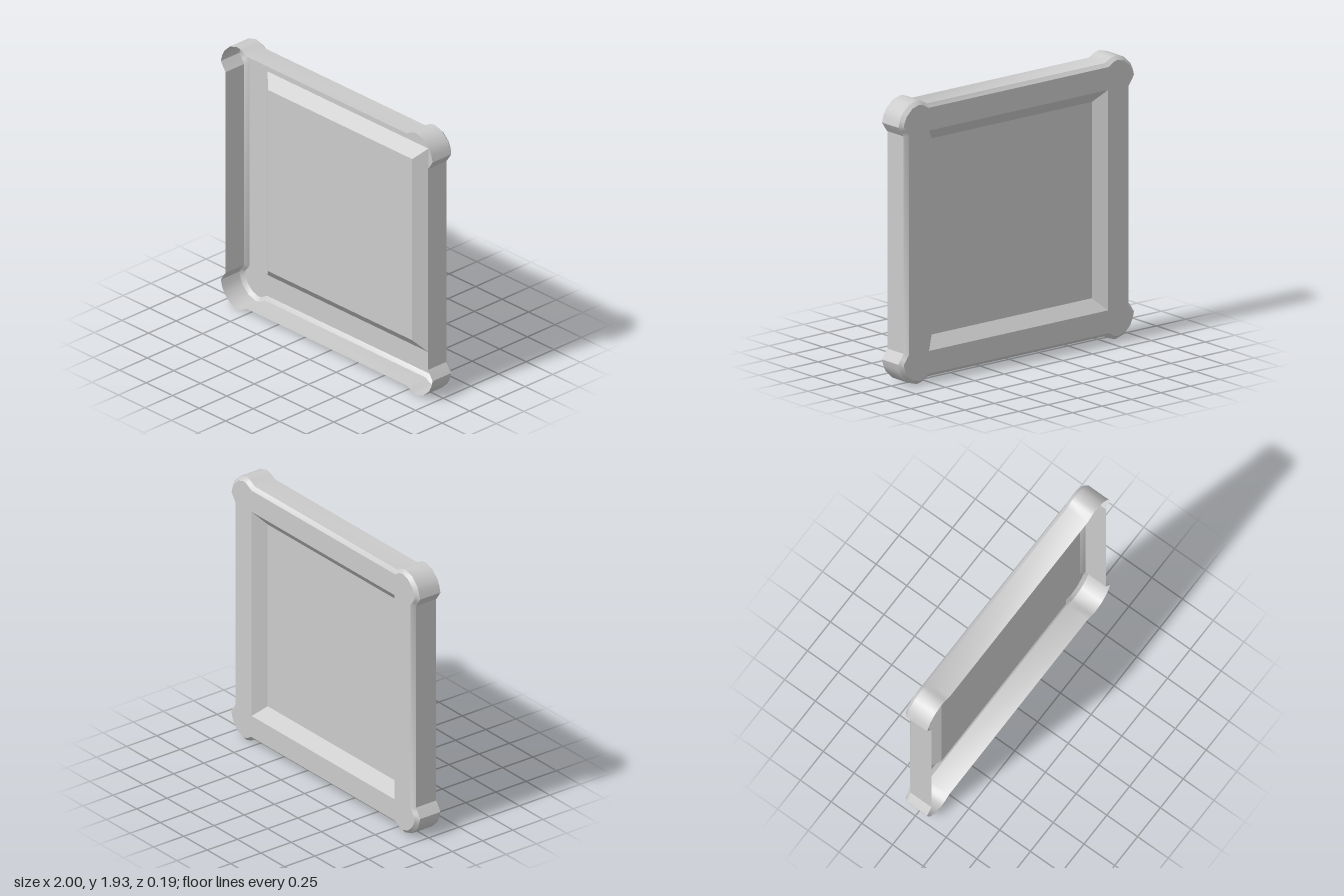
import * as THREE from 'three';
import { toCreasedNormals } from 'three/addons/utils/BufferGeometryUtils.js';

const MID_Y = 0.963;
const material = new THREE.MeshStandardMaterial({ color: 0xcccccc, side: THREE.DoubleSide });

// Counter-clockwise outline: one rounded corner lobe mirrored into four quadrants
function makeOutline() {
  const lobe = [
    [0.955, 0.738], [0.976, 0.767], [1, 0.804], [0.988, 0.848], [0.968, 0.89],
    [0.912, 0.943], [0.842, 0.963], [0.803, 0.953], [0.757, 0.927],
  ];
  const points = [];
  for (const [sx, sy] of [[1, 1], [-1, 1], [-1, -1], [1, -1]]) {
    const quarter = lobe.map(([x, y]) => new THREE.Vector2(x * sx, y * sy));
    if (sx * sy < 0) quarter.reverse();
    points.push(...quarter);
  }
  return points;
}

// Move every corner of a closed outline inward by a mitred distance
function inset(points, distance) {
  const n = points.length;
  return points.map((p, i) => {
    const a = p.clone().sub(points[(i + n - 1) % n]).normalize();
    const b = points[(i + 1) % n].clone().sub(p).normalize();
    const na = new THREE.Vector2(-a.y, a.x);
    const nb = new THREE.Vector2(-b.y, b.x);
    const miter = na.clone().add(nb).normalize();
    return p.clone().addScaledVector(miter, distance / miter.dot(nb));
  });
}

const rectangle = (w, h) =>
  [[w, h], [-w, h], [-w, -h], [w, -h]].map(([x, y]) => new THREE.Vector2(x, y));

// Band of quads joining a loop at z0 to a matching loop further back or inward at z1
function band(name, loop0, z0, loop1, z1) {
  const n = loop0.length;
  const positions = [];
  const indices = [];
  loop0.forEach((p, i) => {
    positions.push(p.x, p.y, z0, loop1[i].x, loop1[i].y, z1);
    const a = 2 * i;
    const b = 2 * ((i + 1) % n);
    indices.push(a, a + 1, b, b, a + 1, b + 1);
  });
  const geometry = new THREE.BufferGeometry();
  geometry.setAttribute('position', new THREE.Float32BufferAttribute(positions, 3));
  geometry.setIndex(indices);
  return part(name, toCreasedNormals(geometry, 0.6));
}

// Flat sheet in the xy plane, facing the back
function sheet(name, outline, z, hole) {
  const shape = new THREE.Shape(outline);
  if (hole) shape.holes.push(new THREE.Path(hole));
  const geometry = new THREE.ShapeGeometry(shape);
  geometry.index.array.reverse();
  geometry.computeVertexNormals();
  const mesh = part(name, geometry);
  mesh.position.z = z;
  return mesh;
}

function part(name, geometry) {
  const mesh = new THREE.Mesh(geometry, material);
  mesh.name = name;
  return mesh;
}

export function createModel() {
  const group = new THREE.Group();
  group.name = 'panelShell';

  const outer = makeOutline();
  const inner = inset(outer, 0.024);
  const recessEdge = rectangle(0.76, 0.748);
  const recessFloor = rectangle(0.68, 0.666);

  const body = new THREE.Group();
  body.name = 'shell';
  body.position.y = MID_Y;
  body.add(
    // Open-fronted rim with a bevelled back edge
    band('outerWall', outer, 0.096, outer, -0.072),
    band('backBevel', outer, -0.072, inner, -0.096),
    // Flat border around the recess
    sheet('backFrame', inner, -0.096, recessEdge),
    // Recess pushed forward into the shell
    band('recessSlopes', recessEdge, -0.096, recessFloor, -0.026),
    sheet('recessPanel', recessFloor, -0.026),
  );
  group.add(body);
  return group;
}
